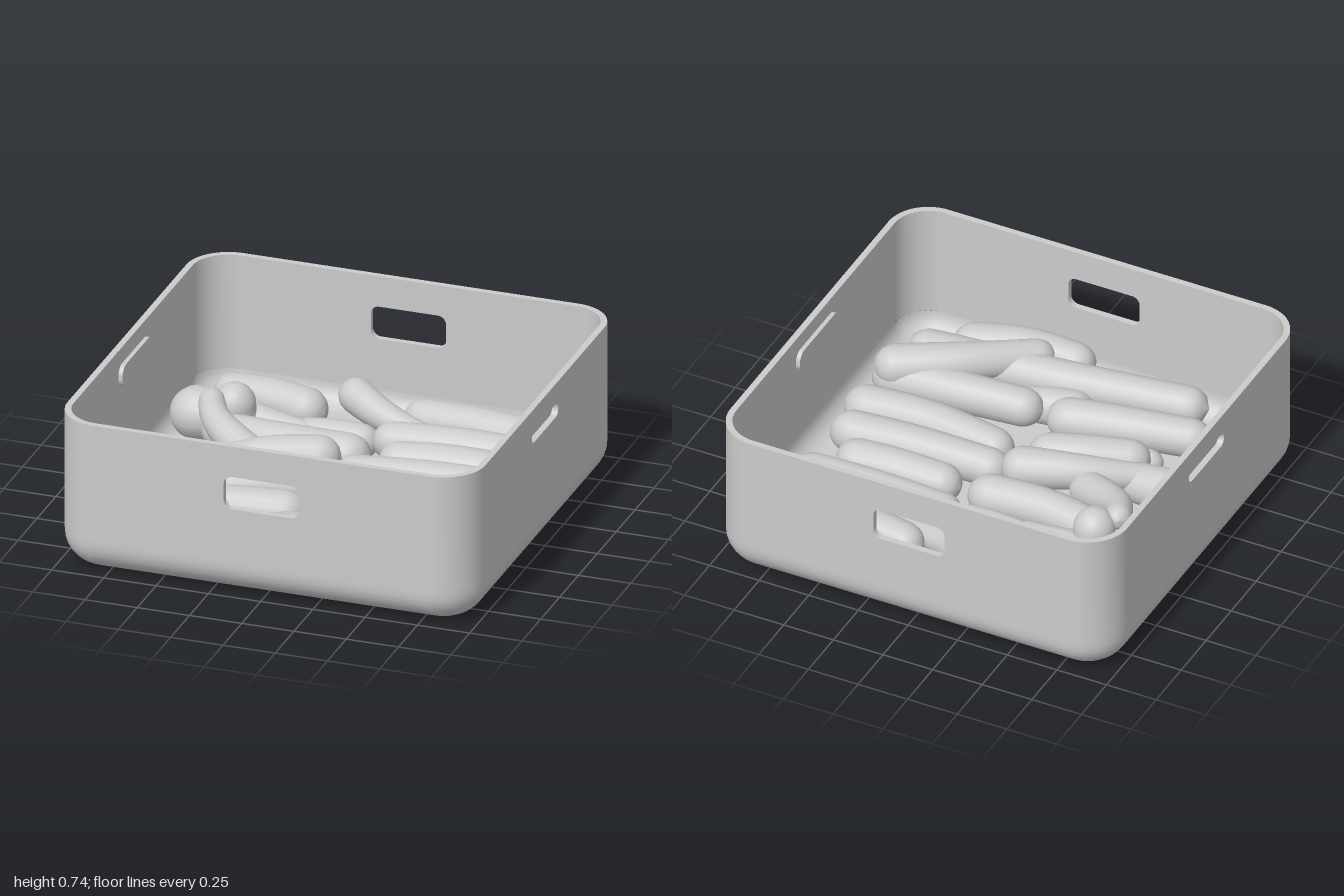
import * as THREE from 'three';
import { mergeVertices, toCreasedNormals } from 'three/addons/utils/BufferGeometryUtils.js';

const HX = 1, HZ = 0.99, TOP = 0.74, BASE = 0.18, R = 0.2, T = 0.03, FLOOR = 0.08;
const mat = new THREE.MeshStandardMaterial({ color: 0xcccccc });

function mesh(name, geometry) {
  const m = new THREE.Mesh(geometry, mat);
  m.name = name;
  return m;
}

function roundedRect(path, w, y0, y1, r) {
  const h = w / 2;
  path.absarc(h - r, y0 + r, r, -Math.PI / 2, 0);
  path.absarc(h - r, y1 - r, r, 0, Math.PI / 2);
  path.absarc(-h + r, y1 - r, r, Math.PI / 2, Math.PI);
  path.absarc(-h + r, y0 + r, r, Math.PI, Math.PI * 1.5);
  path.closePath();
  return path;
}

const extrude = (shape, depth) => toCreasedNormals(
  new THREE.ExtrudeGeometry(shape, { depth, bevelEnabled: false, curveSegments: 12 }), 0.6);

// Flat upper wall with a rounded opening, facing +z
function wallGeometry(half, w, y0, y1, r) {
  const s = new THREE.Shape();
  s.moveTo(-half, BASE);
  s.lineTo(half, BASE);
  s.lineTo(half, TOP);
  s.lineTo(-half, TOP);
  s.closePath();
  s.holes.push(roundedRect(new THREE.Path(), w, y0, y1, r));
  return extrude(s, T);
}

// Rounded base: outer fillet down to the underside, then floor and inner fillet up
function baseGeometry() {
  const profile = [[0, BASE]];
  for (let i = 0; i <= 8; i++) {
    const a = i / 8 * Math.PI / 2;
    profile.push([0.15 * (1 - Math.cos(a)), 0.15 * (1 - Math.sin(a))]);
  }
  profile.push([0.17, 0], [null, 0], [null, FLOOR], [0.16, FLOOR]);
  for (let i = 0; i <= 8; i++) {
    const a = i / 8 * Math.PI / 2;
    profile.push([T + 0.1 * (1 - Math.sin(a)), FLOOR + 0.1 * (1 - Math.cos(a))]);
  }
  const pos = [], index = [], seg = 10, n = 4 * (seg + 1);
  for (const [d, y] of profile) {
    for (let k = 0; k < 4; k++) {
      const sx = k === 0 || k === 3 ? 1 : -1, sz = k < 2 ? 1 : -1;
      for (let i = 0; i <= seg; i++) {
        const a = (k + i / seg) * Math.PI / 2;
        if (d === null) pos.push(0, y, 0);
        else pos.push(sx * (HX - R) + (R - d) * Math.cos(a), y, sz * (HZ - R) + (R - d) * Math.sin(a));
      }
    }
  }
  for (let i = 0; i < profile.length - 1; i++) {
    for (let j = 0; j < n; j++) {
      const a = i * n + j, b = i * n + (j + 1) % n;
      index.push(a, b, a + n, b, b + n, a + n);
    }
  }
  const g = new THREE.BufferGeometry();
  g.setAttribute('position', new THREE.Float32BufferAttribute(pos, 3));
  g.setIndex(index);
  g.computeVertexNormals();
  return g;
}

// Round-ended roll along a curve, its radius going from r0 to r1
function rollGeometry(points, r0, r1) {
  const curve = new THREE.CatmullRomCurve3(points);
  const N = 56, M = 18, len = curve.getLength();
  const g = new THREE.TubeGeometry(curve, N, 1, M);
  const p = g.attributes.position, v = new THREE.Vector3();
  for (let i = 0; i <= N; i++) {
    const t = i / N, c = curve.getPointAt(t);
    const r = THREE.MathUtils.lerp(r0, r1, THREE.MathUtils.smoothstep(t, 0, 1));
    const e = Math.min(1, Math.min(t, 1 - t) * len / (r * 1.1));
    const k = r * Math.sqrt(Math.max(1e-5, 1 - (1 - e) ** 2));
    for (let j = 0; j <= M; j++) {
      const q = i * (M + 1) + j;
      v.fromBufferAttribute(p, q).sub(c).multiplyScalar(k).add(c);
      p.setXYZ(q, v.x, v.y, v.z);
    }
  }
  g.deleteAttribute('uv');
  g.deleteAttribute('normal');
  const merged = mergeVertices(g, 1e-5);
  merged.computeVertexNormals();
  return merged;
}

// Roll lying at height y between two floor positions, bowed sideways at the middle
function lyingRoll(y, r0, r1, x0, z0, x1, z1, bow = 0) {
  return mesh('lyingRoll', rollGeometry([
    new THREE.Vector3(x0, y, z0),
    new THREE.Vector3((x0 + x1) / 2, y + 0.015, (z0 + z1) / 2 + bow),
    new THREE.Vector3(x1, y, z1),
  ], r0, r1));
}

// Roll leaning on the others, through three points
function leaningRoll(name, r0, r1, ...points) {
  return mesh(name, rollGeometry(points.map(p => new THREE.Vector3(...p)), r0, r1));
}

function createPile() {
  const pile = new THREE.Group();
  pile.name = 'rollPile';

  // Main layer, back to front: x and z of both ends, bow
  for (const ends of [
    [-0.82, -0.67, -0.26, -0.58, -0.015],
    [0.08, -0.7, 0.83, -0.61],
    [0.03, -0.41, 0.87, -0.42],
    [-0.73, -0.27, 0.09, -0.21, 0.04],
    [0.13, -0.21, 0.74, -0.24],
    [-0.01, -0.01, 0.86, -0.06],
    [-0.54, 0.36, -0.02, 0.16, -0.01],
    [0.04, 0.12, 0.89, 0.14, 0.03],
    [-0.72, 0.61, 0.03, 0.45, -0.01],
    [0.06, 0.47, 0.88, 0.4, -0.015],
    [-0.6, 0.82, 0.83, 0.64, -0.03],
    [0, 0.87, 0.66, 0.75, 0.04],
  ]) pile.add(lyingRoll(0.2, 0.09, 0.1, ...ends));

  // Thick-ended rolls on the right
  pile.add(lyingRoll(0.19, 0.13, 0.06, -0.94, -0.43, -0.22, -0.37));
  pile.add(lyingRoll(0.19, 0.12, 0.09, -0.91, 0.17, -0.46, 0.19));

  // Thin rolls underneath
  pile.add(lyingRoll(0.18, 0.07, 0.08, -0.35, -0.4, 0.06, -0.4));
  pile.add(lyingRoll(0.13, 0.06, 0.06, 0.17, 0.24, 0.75, 0.25, 0.03));
  pile.add(lyingRoll(0.15, 0.1, 0.08, -0.13, 0.61, 0.25, 0.53));
  pile.add(lyingRoll(0.12, 0.06, 0.06, -0.56, 0.44, -0.3, 0.4));

  // Rolls propped on top
  pile.add(
    leaningRoll('backRoll', 0.085, 0.05, [-0.23, 0.27, -0.76], [-0.01, 0.22, -0.63], [0.37, 0.15, -0.52]),
    leaningRoll('uprightRoll', 0.09, 0.1, [-0.56, 0.1, -0.36], [-0.6, 0.26, -0.34], [-0.61, 0.41, -0.33]),
    leaningRoll('slopingRoll', 0.06, 0.09, [-0.71, 0.36, -0.31], [-0.62, 0.31, -0.14], [-0.33, 0.2, 0.05]),
    leaningRoll('middleRoll', 0.06, 0.1, [-0.66, 0.22, 0.24], [-0.34, 0.27, 0.06], [0.01, 0.26, -0.05]),
    leaningRoll('diagonalRoll', 0.1, 0.08, [0.86, 0.26, 0.36], [0.52, 0.28, 0.54], [0.18, 0.24, 0.83]),
  );
  return pile;
}

export function createModel() {
  const group = new THREE.Group();
  const box = new THREE.Group();
  box.name = 'box';
  box.add(mesh('boxBase', baseGeometry()));

  // Front and back walls with hand holes, side walls with recessed grips
  ['frontWall', 'leftWall', 'backWall', 'rightWall'].forEach((name, k) => {
    const side = k % 2 === 1, offset = side ? HX : HZ;
    const wall = new THREE.Group();
    wall.name = name;
    wall.rotation.y = k * Math.PI / 2;
    const panel = mesh('wallPanel', side
      ? wallGeometry(HZ - R, 0.35, 0.575, 0.64, 0.03)
      : wallGeometry(HX - R, 0.36, 0.43, 0.59, 0.04));
    panel.position.z = offset - T;
    wall.add(panel);
    if (side) {
      const pocket = mesh('gripPocket', extrude(roundedRect(new THREE.Shape(), 0.39, 0.555, 0.66, 0.045), 0.02));
      pocket.position.z = offset - T - 0.02;
      wall.add(pocket);
    }
    box.add(wall);
  });

  // Rounded upright corners
  const arc = new THREE.Shape();
  arc.absarc(0, 0, R, 0, Math.PI / 2, false);
  arc.absarc(0, 0, R - T, Math.PI / 2, 0, true);
  arc.closePath();
  const cornerGeometry = extrude(arc, TOP - BASE).rotateX(-Math.PI / 2);
  [[1, -1], [-1, -1], [-1, 1], [1, 1]].forEach(([sx, sz], k) => {
    const corner = mesh('boxCorner', cornerGeometry);
    corner.position.set(sx * (HX - R), BASE, sz * (HZ - R));
    corner.rotation.y = k * Math.PI / 2;
    box.add(corner);
  });

  group.add(box, createPile());
  return group;
}
